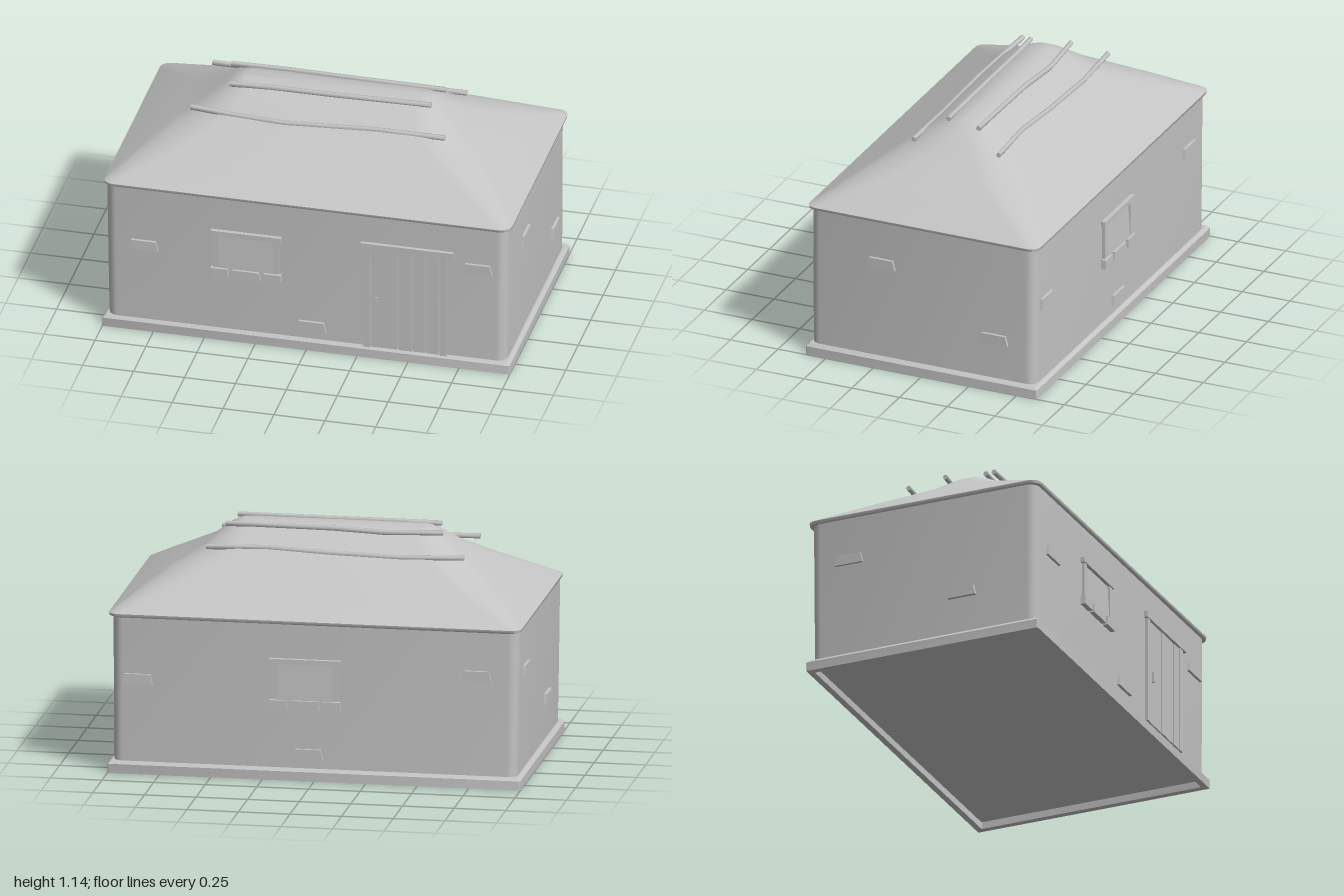
import * as THREE from 'three';
import { toCreasedNormals } from 'three/addons/utils/BufferGeometryUtils.js';

const plaster = new THREE.MeshStandardMaterial({ color: 0xc4c4c4 });
plaster.name = 'plaster grey';

function add(parent, name, geometry, x = 0, y = 0, z = 0) {
  const mesh = new THREE.Mesh(geometry, plaster);
  mesh.name = name;
  mesh.position.set(x, y, z);
  parent.add(mesh);
  return mesh;
}

// Skin a stack of equal-length rings and cap both ends
function loft(rings, crease) {
  const n = rings[0].length, pos = [];
  const tri = (...pts) => pts.forEach(p => pos.push(p.x, p.y, p.z));
  for (let r = 0; r < rings.length - 1; r++) {
    for (let i = 0; i < n; i++) {
      const j = (i + 1) % n, lo = rings[r], hi = rings[r + 1];
      tri(lo[i], hi[i], lo[j]);
      tri(lo[j], hi[i], hi[j]);
    }
  }
  for (const [ring, top] of [[rings[0], false], [rings[rings.length - 1], true]]) {
    const c = ring.reduce((s, p) => s.add(p), new THREE.Vector3()).divideScalar(n);
    for (let i = 0; i < n; i++) {
      const a = ring[i], b = ring[(i + 1) % n];
      top ? tri(c, b, a) : tri(c, a, b);
    }
  }
  const g = new THREE.BufferGeometry();
  g.setAttribute('position', new THREE.Float32BufferAttribute(pos, 3));
  return toCreasedNormals(g, crease);
}

// Horizontal rounded rectangle: half width, half depth, height, corner radius, centre
function rectRing([hx, hz, y, radius, cx = 0, cz = 0]) {
  const pts = [], steps = 6;
  for (let q = 0; q < 4; q++) {
    const sx = q === 0 || q === 3 ? 1 : -1, sz = q < 2 ? 1 : -1;
    for (let i = 0; i <= steps; i++) {
      const a = (q + i / steps) * Math.PI / 2;
      pts.push(new THREE.Vector3(cx + sx * (hx - radius) + radius * Math.cos(a), y,
        cz + sz * (hz - radius) + radius * Math.sin(a)));
    }
  }
  return pts;
}
const stack = (rows, crease) => loft(rows.map(rectRing), crease);

// Bent roof pole through [x, y, z] points
function pole(points, radius) {
  return loft(points.map(([x, y, z]) => Array.from({ length: 6 }, (_, i) => {
    const a = i * Math.PI / 3;
    return new THREE.Vector3(x, y + radius * Math.sin(a), z + radius * Math.cos(a));
  })), 1.1);
}

// Block with a narrower top, its back on z = 0
function taperedBlock(bottom, top, height, depth) {
  const s = new THREE.Shape();
  s.moveTo(-bottom / 2, -height / 2);
  s.lineTo(bottom / 2, -height / 2);
  s.lineTo(top / 2, height / 2);
  s.lineTo(-top / 2, height / 2);
  s.closePath();
  return new THREE.ExtrudeGeometry(s, { depth, bevelEnabled: false });
}

// Stones at [across, height] on one wall
function addStones(wall, places) {
  places.forEach(([x, y]) => add(wall, 'wallStone', taperedBlock(0.145, 0.122, 0.05, 0.026), x, y, -0.012));
}

function addWindow(wall, x) {
  const w = new THREE.Group();
  w.name = 'window';
  w.position.x = x;
  wall.add(w);
  // Pane leaning back between the jambs
  const pane = add(w, 'windowPane', new THREE.BoxGeometry(0.265, 0.185, 0.008), 0, 0.483, 0.004);
  pane.rotation.x = -0.05;
  for (const s of [-1, 1]) add(w, 'windowJamb', new THREE.BoxGeometry(0.028, 0.18, 0.03), s * 0.146, 0.487, 0);
  add(w, 'windowLintel', new THREE.BoxGeometry(0.345, 0.025, 0.036), 0, 0.584, 0.003);
  // Three sill stones
  for (const [sx, sw] of [[-0.13, 0.09], [0.0, 0.14], [0.13, 0.09]]) {
    add(w, 'sillStone', taperedBlock(sw, sw * 0.93, 0.045, 0.035), sx, 0.372, -0.01);
  }
}

function addDoor(wall) {
  const d = new THREE.Group();
  d.name = 'door';
  wall.add(d);
  add(d, 'doorLintel', new THREE.BoxGeometry(0.455, 0.03, 0.03), 0.495, 0.61, 0.004);
  for (const x of [0.298, 0.673]) add(d, 'doorPost', new THREE.BoxGeometry(0.033, 0.54, 0.028), x, 0.328, 0);
  // Planks of unequal width with small gaps
  const edges = [0.317, 0.45, 0.522, 0.588, 0.654];
  for (let i = 0; i < 4; i++) {
    const w = edges[i + 1] - edges[i] - 0.006;
    add(d, 'doorPlank', new THREE.BoxGeometry(w, 0.53, 0.016), (edges[i] + edges[i + 1]) / 2, 0.325, 0.001 + (i % 2) * 0.002);
  }
  add(d, 'doorHandle', new THREE.BoxGeometry(0.01, 0.055, 0.014), 0.345, 0.308, 0.012);
}

export function createModel() {
  const house = new THREE.Group();
  house.name = 'house';

  // Plinth with a recessed underside
  add(house, 'plinth', stack([
    [0.968, 0.574, 0.035, 0.005], [0.968, 0.574, 0, 0.005], [1, 0.605, 0, 0.006],
    [1, 0.605, 0.045, 0.006], [0.985, 0.59, 0.06, 0.006],
  ], 0.4));

  // Walls flare very slightly towards the eaves
  add(house, 'walls', stack([
    [0.978, 0.588, 0.04, 0.05, 0, 0.002], [0.982, 0.589, 0.4, 0.05, -0.002, 0.002],
    [0.985, 0.589, 0.775, 0.05, -0.004, 0.002],
  ], 0.6));

  // Hipped roof with rounded hips, smooth eaves and a softened ridge
  add(house, 'roof', stack([
    [0.985, 0.59, 0.764, 0.05], [0.998, 0.603, 0.77, 0.05], [1, 0.605, 0.783, 0.05],
    [0.88, 0.482, 0.865, 0.11], [0.75, 0.36, 0.947, 0.16], [0.61, 0.235, 1.028, 0.16, -0.005, 0.005],
    [0.51, 0.115, 1.105, 0.1, 0, 0.008], [0.47, 0.06, 1.126, 0.055, 0, 0.01], [0.44, 0.02, 1.133, 0.015, 0, 0.01],
  ], 1.0));

  // Poles lying along the roof
  const poles = [
    [[-0.66, 1.035, -0.223], [-0.35, 1.026, -0.233], [0, 1.031, -0.223], [0.3, 1.041, -0.207], [0.59, 1.036, -0.219]],
    [[-0.535, 1.12, -0.087], [-0.26, 1.114, -0.104], [0, 1.12, -0.087], [0.52, 1.12, -0.081]],
    [[-0.495, 1.119, 0.106], [-0.3, 1.122, 0.097], [0, 1.122, 0.097], [0.49, 1.125, 0.089]],
    [[-0.66, 1.035, 0.223], [-0.45, 1.027, 0.236], [-0.2, 1.021, 0.246], [0.25, 1.033, 0.226], [0.59, 1.033, 0.226]],
  ];
  poles.forEach(p => add(house, 'roofPole', pole(p, 0.013)));

  // Wall details, each laid out in the plane of its own wall
  const makeWall = (name, turn, distance) => {
    const g = new THREE.Group();
    g.name = name;
    g.rotation.y = turn;
    g.position.set(Math.sin(turn) * distance, 0, Math.cos(turn) * distance);
    house.add(g);
    return g;
  };
  const front = makeWall('frontDetails', 0, 0.591);
  const back = makeWall('backDetails', Math.PI, 0.587);
  const left = makeWall('leftDetails', Math.PI / 2, 0.98);
  const right = makeWall('rightDetails', -Math.PI / 2, 0.985);

  addWindow(front, -0.295);
  addDoor(front);
  addStones(front, [[-0.8, 0.465], [0.84, 0.55], [0.025, 0.13]]);
  addWindow(back, -0.045);
  addStones(back, [[-0.855, 0.465], [0.785, 0.55], [-0.03, 0.13]]);
  addStones(left, [[-0.215, 0.55], [0.375, 0.267]]);
  addStones(right, [[-0.385, 0.55], [0.205, 0.267]]);

  return house;
}
